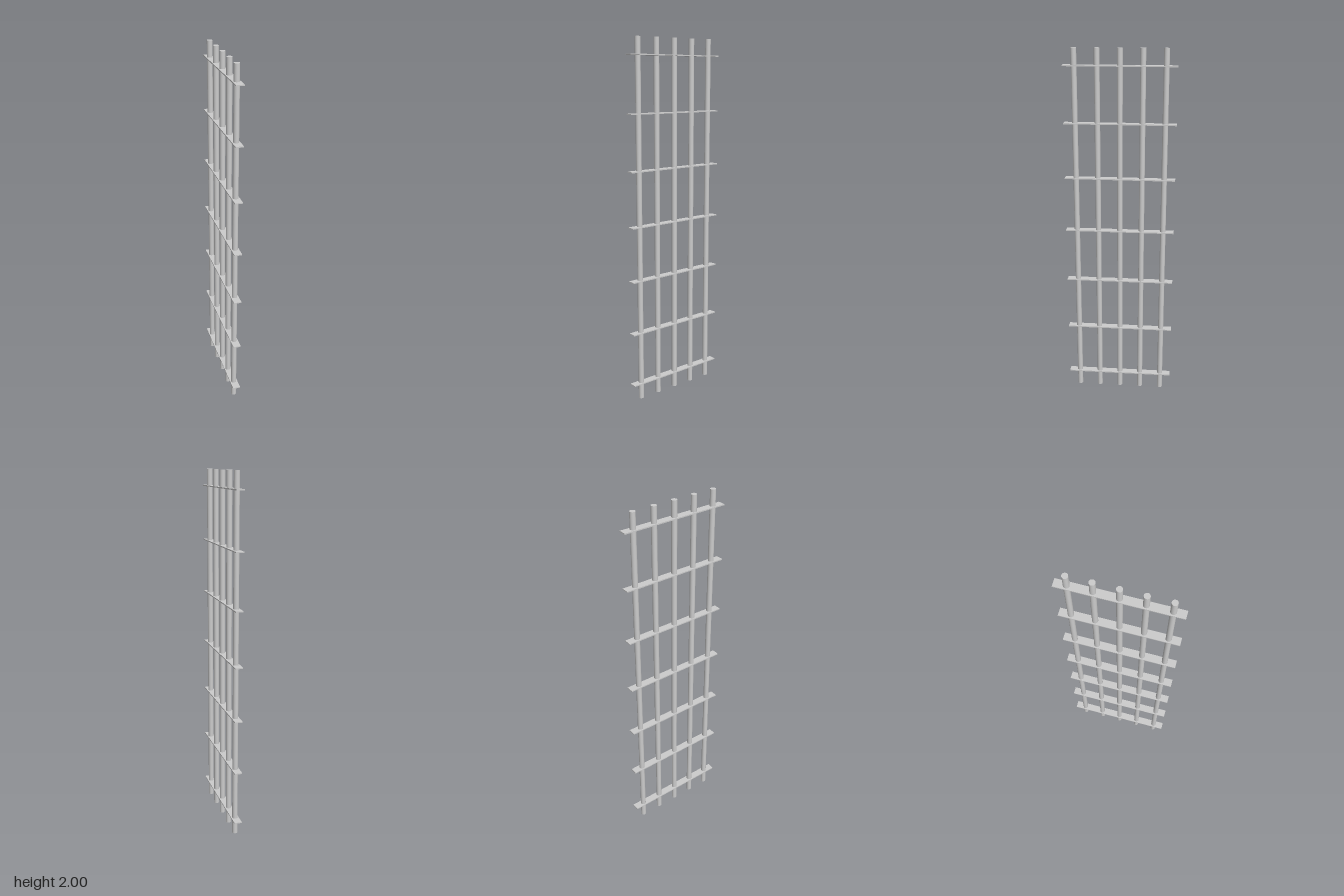
import * as THREE from 'three';

export function createModel() {
  const group = new THREE.Group();
  group.name = 'barGrille';
  const material = new THREE.MeshStandardMaterial({ color: 0xcccccc });

  // Upright round bars, evenly spaced along z
  const barGeometry = new THREE.CylinderGeometry(0.0152, 0.0152, 2, 32);
  for (let i = -2; i <= 2; i++) {
    const bar = new THREE.Mesh(barGeometry, material);
    bar.name = 'uprightBar';
    bar.position.set(0, 1, i * 0.1212);
    group.add(bar);
  }

  // Thin flat crosspieces threaded by the bars
  const slatGeometry = new THREE.BoxGeometry(0.0424, 0.006, 0.606);
  for (let i = -3; i <= 3; i++) {
    const slat = new THREE.Mesh(slatGeometry, material);
    slat.name = 'crossSlat';
    slat.position.set(0, 1 + i * 0.303, 0);
    group.add(slat);
  }

  return group;
}
